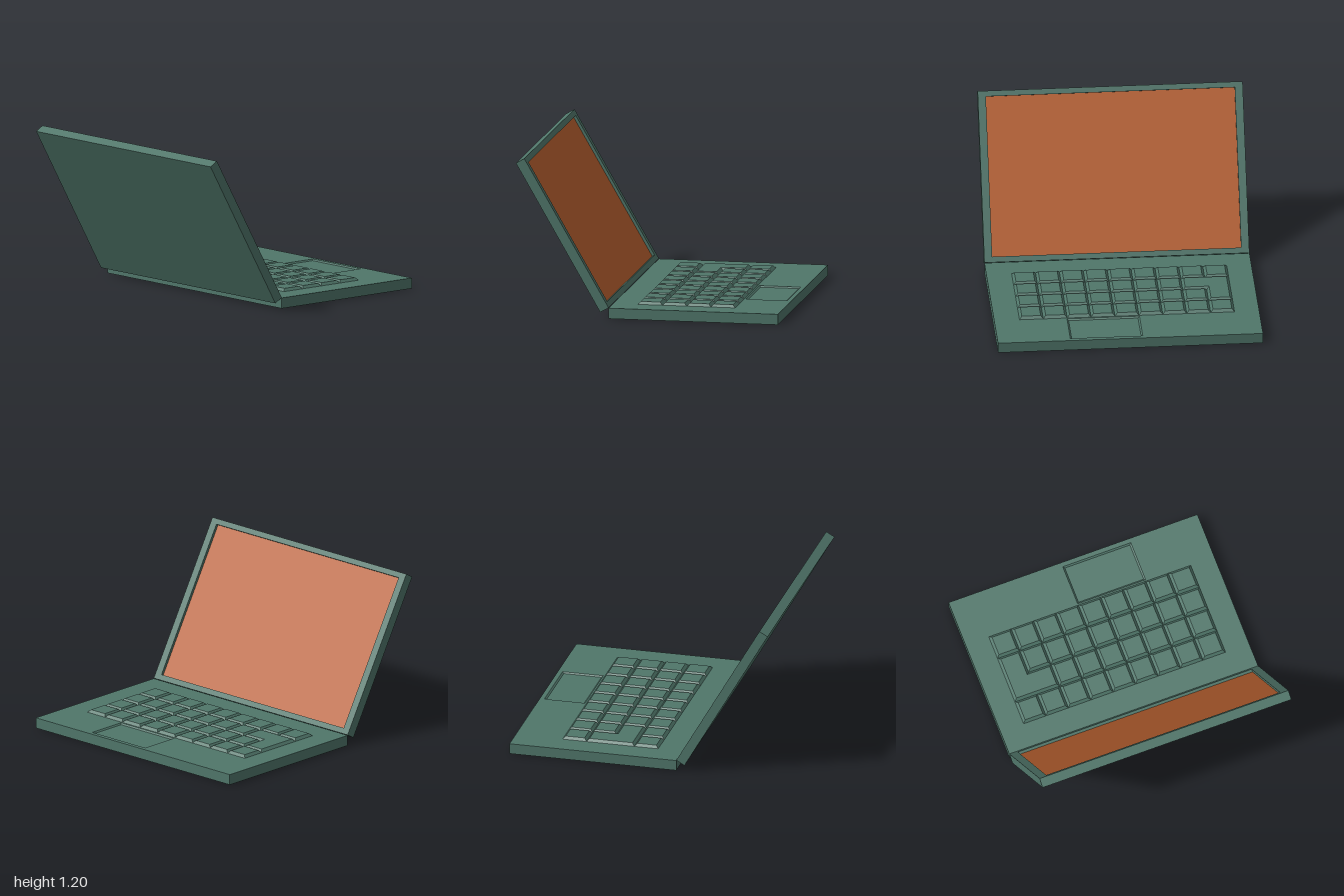
import * as THREE from 'three';

const W = 1.99;                                   // overall width
const V = (x, y) => new THREE.Vector2(x, y);

// Counter-clockwise rectangle outline
const rect = (x0, y0, x1, y1) => [V(x0, y0), V(x1, y0), V(x1, y1), V(x0, y1)];

// Move every edge of a right-angled outline inwards
function inset(points, d) {
  const n = points.length;
  return points.map((p, i) => {
    const a = p.clone().sub(points[(i + n - 1) % n]).normalize();
    const b = points[(i + 1) % n].clone().sub(p).normalize();
    return V(p.x - (a.y + b.y) * d, p.y + (a.x + b.x) * d);
  });
}

// Sloped walls and a flat cap from an outline: raised (h > 0) or sunk (h < 0)
function bevelled(outline, d, h) {
  const cap = inset(outline, d), pos = [];
  const put = (p, z) => pos.push(p.x, p.y, z);
  outline.forEach((p, i) => {
    const j = (i + 1) % outline.length;
    put(p, 0); put(outline[j], 0); put(cap[j], h);
    put(p, 0); put(cap[j], h); put(cap[i], h);
  });
  for (const f of THREE.ShapeUtils.triangulateShape(cap, [])) f.forEach(i => put(cap[i], h));
  const g = new THREE.BufferGeometry();
  g.setAttribute('position', new THREE.Float32BufferAttribute(pos, 3));
  g.computeVertexNormals();
  return g.rotateX(-Math.PI / 2);
}

// Flat plate with one opening
function framePlate(outer, hole, depth) {
  const s = new THREE.Shape(outer);
  s.holes.push(new THREE.Path(hole));
  return new THREE.ExtrudeGeometry(s, { depth, bevelEnabled: false });
}

export function createModel() {
  const caseGreen = new THREE.MeshStandardMaterial({ color: 0x50766a });
  caseGreen.name = 'case green';
  const screenOrange = new THREE.MeshStandardMaterial({ color: 0xbb6230 });
  screenOrange.name = 'screen orange';

  const model = new THREE.Group();
  model.name = 'laptop';
  const add = (parent, name, geometry, material, x = 0, y = 0, z = 0) => {
    const m = new THREE.Mesh(geometry, material);
    m.name = name;
    m.position.set(x, y, z);
    parent.add(m);
    return m;
  };

  // Base: lower slab, upper plate with an opening, sunken trackpad
  const top = 0.08, plate = 0.015, back = -1, hinge = 0.29;
  const pad = rect(-0.095, 0.65, 0.45, 0.965);    // outline in x, -z
  add(model, 'baseSlab', new THREE.BoxGeometry(W, top - plate, hinge - back), caseGreen,
    0, (top - plate) / 2, (hinge + back) / 2);
  add(model, 'basePlate',
    framePlate(rect(-W / 2, -hinge, W / 2, -back), pad, plate).rotateX(-Math.PI / 2),
    caseGreen, 0, top - plate, 0);
  add(model, 'trackpad', bevelled(pad, 0.012, -0.01), caseGreen, 0, top, 0);

  // Keyboard: four rows of nine, with one L-shaped key over rows 1 and 2
  const keys = new THREE.Group();
  keys.name = 'keyboard';
  model.add(keys);
  const kx = c => -0.81 + c * 0.1795, ky = r => 0.638 - r * 0.185;
  const addKey = (name, outline) =>
    add(keys, name, bevelled(outline, 0.019, 0.02), caseGreen, 0, top, 0);
  for (let r = 0; r < 4; r++) {
    const first = r === 1 ? 1 : r === 2 ? 2 : 0;
    for (let c = first; c < 9; c++) {
      addKey('key', rect(kx(c), ky(r + 1), kx(c + 1), ky(r)));
    }
  }
  addKey('cornerKey', [V(kx(0), ky(3)), V(kx(2), ky(3)), V(kx(2), ky(2)),
    V(kx(1), ky(2)), V(kx(1), ky(1)), V(kx(0), ky(1))]);

  // Lid: leaning frame, back slab and recessed screen
  const L = 1.286, T = 0.073, recess = 0.023;
  const lid = new THREE.Group();
  lid.name = 'lid';
  lid.position.set(0, 0.083, hinge);
  lid.rotation.x = Math.PI / 6;
  model.add(lid);
  const sx = 0.935, sy0 = 0.042, sy1 = L - 0.042;
  add(lid, 'screenFrame',
    framePlate(rect(-W / 2, 0, W / 2, L), rect(-sx, sy0, sx, sy1), recess), caseGreen);
  add(lid, 'lidBack', new THREE.BoxGeometry(W, L, T - recess), caseGreen,
    0, L / 2, (T + recess) / 2);
  add(lid, 'screen', new THREE.BoxGeometry(sx * 2, sy1 - sy0, 0.004), screenOrange,
    0, L / 2, recess);

  return model;
}
